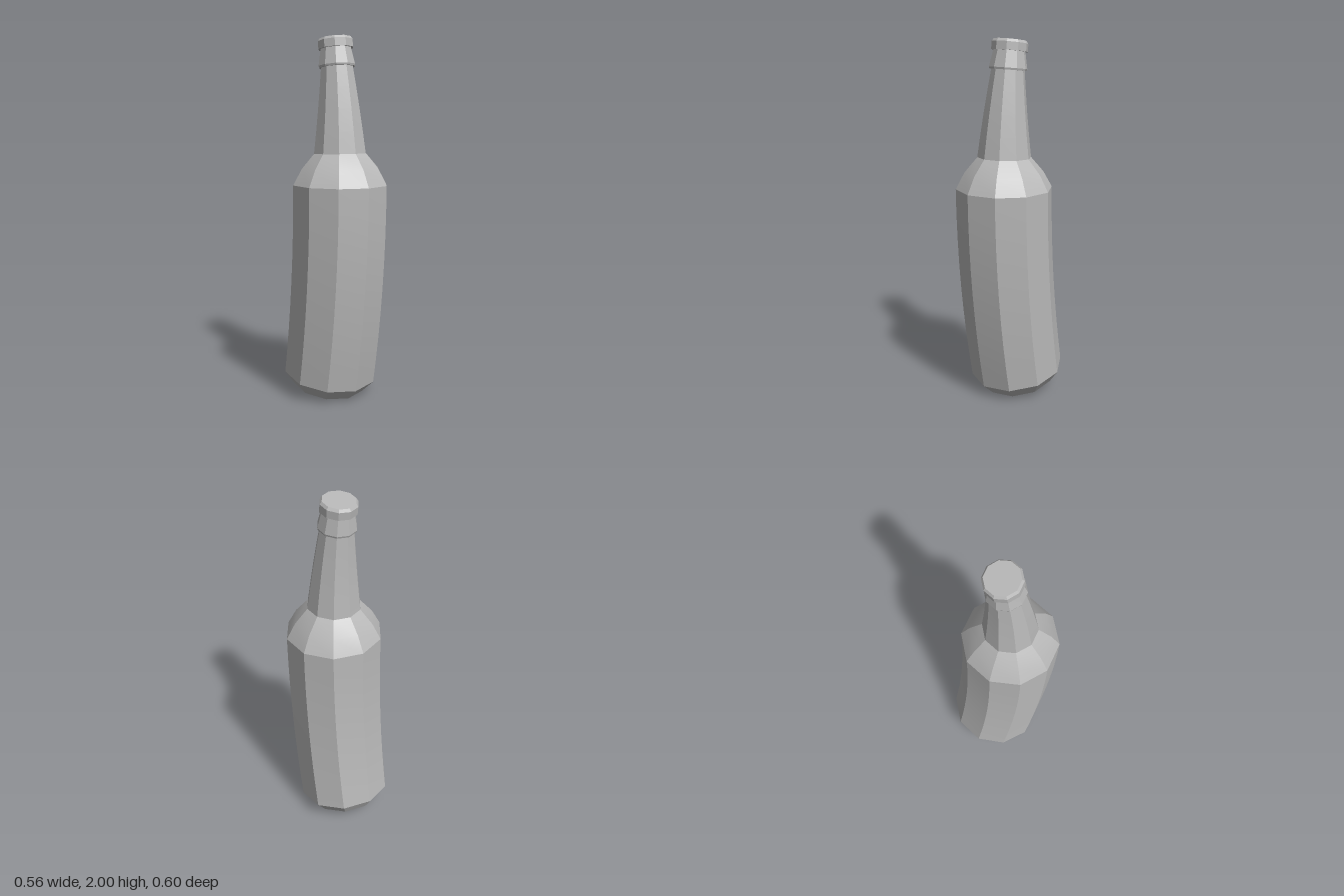
import * as THREE from 'three';
import { toCreasedNormals } from 'three/addons/utils/BufferGeometryUtils.js';

const SIDES = 10;

// Gently bent centre line of the bottle: a parabola around the shoulder height
function centre(y) {
  const d = y - 1.22;
  return new THREE.Vector3(-0.016 + 0.024 * d * d, y, 0.047 - 0.079 * d * d);
}
function tangent(y) {
  const d = y - 1.22;
  return new THREE.Vector3(0.048 * d, 1, -0.158 * d).normalize();
}

// Sweep a profile of [radius, height] pairs along the centre line
function sweep(profile) {
  const pos = [], index = [];
  for (const [r, y] of profile) {
    const c = centre(y), t = tangent(y);
    const w = new THREE.Vector3(1, 0, 0).cross(t).normalize();
    const u = t.clone().cross(w);
    for (let i = 0; i < SIDES; i++) {
      const a = (i / SIDES) * Math.PI * 2;
      const p = c.clone().addScaledVector(u, r * Math.cos(a)).addScaledVector(w, r * Math.sin(a));
      pos.push(p.x, p.y, p.z);
    }
  }
  for (let j = 0; j < profile.length - 1; j++) {
    for (let i = 0; i < SIDES; i++) {
      const n = (i + 1) % SIDES;
      const a = j * SIDES + i, b = j * SIDES + n;
      const d = a + SIDES, e = b + SIDES;
      if (profile[j + 1][0] > 0) index.push(a, d, e);
      else index.push(a, d, b);
      if (profile[j][0] > 0 && profile[j + 1][0] > 0) index.push(a, e, b);
    }
  }
  const g = new THREE.BufferGeometry();
  g.setAttribute('position', new THREE.Float32BufferAttribute(pos, 3));
  g.setIndex(index);
  return toCreasedNormals(g, THREE.MathUtils.degToRad(24));
}

// Evenly spaced rings between two profile points, so the bend stays smooth
function span([r0, y0], [r1, y1], steps) {
  return Array.from({ length: steps + 1 }, (_, i) => {
    const t = i / steps;
    return [r0 + (r1 - r0) * t, y0 + (y1 - y0) * t];
  });
}

export function createModel() {
  const group = new THREE.Group();
  group.name = 'bottle';
  const grey = new THREE.MeshStandardMaterial({ color: 0xb8b8b8 });
  grey.name = 'grey';

  const add = (name, profile) => {
    const mesh = new THREE.Mesh(sweep(profile), grey);
    mesh.name = name;
    group.add(mesh);
  };

  // Base, body, shoulder and neck in one skin
  add('body', [
    [0, 0.04], [0.207, 0.04],
    ...span([0.265, 0.112], [0.265, 1.2], 8),
    [0.216, 1.29],
    ...span([0.147, 1.37], [0.089, 1.84], 4),
  ]);

  // Flared collar below the cap
  add('collar', [[0.085, 1.833], [0.1, 1.833], [0.103, 1.843], [0.085, 1.935]]);

  // Cap with a chamfered top
  add('cap', [[0.08, 1.932], [0.098, 1.932], [0.098, 1.974], [0.088, 1.988], [0, 1.988]]);

  return group;
}
